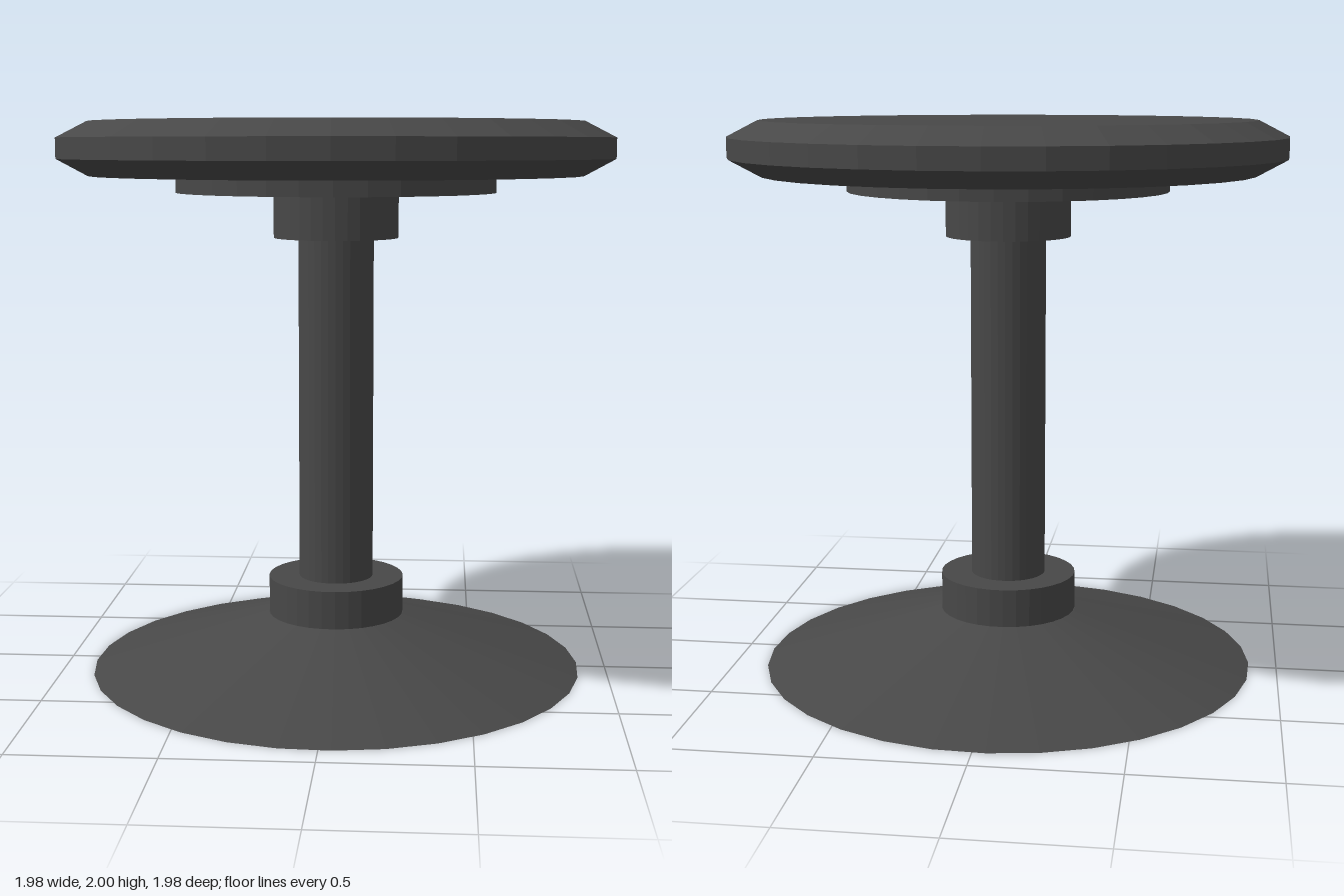
import * as THREE from 'three';

export function createModel() {
  const stool = new THREE.Group();
  stool.name = 'stool';

  const charcoal = new THREE.MeshStandardMaterial({ color: 0x484848, flatShading: true });
  charcoal.name = 'charcoal';

  const SIDES = 32;
  const TURN = Math.PI / 64; // quarter of one facet

  // Solid of revolution from [radius, y] points, bottom to top
  function turned(name, points) {
    const profile = points.map(([r, y]) => new THREE.Vector2(r, y));
    const mesh = new THREE.Mesh(new THREE.LatheGeometry(profile, SIDES, TURN), charcoal);
    mesh.name = name;
    stool.add(mesh);
  }

  // Plain disc or tube between two heights
  const drum = (name, r, y0, y1) => turned(name, [[0, y0], [r, y0], [r, y1], [0, y1]]);

  // Flared foot and its collar
  turned('base', [[0, 0], [0.9, 0], [0.25, 0.2], [0, 0.2]]);
  drum('lowerCollar', 0.248, 0.2, 0.338);

  // Central post
  drum('column', 0.136, 0.3, 1.62);

  // Support under the seat
  drum('upperCollar', 0.225, 1.588, 1.75);
  drum('seatPlate', 0.575, 1.75, 1.81);

  // Round seat with bevelled rim
  turned('seat', [[0, 1.81], [0.88, 1.81], [0.99, 1.87], [0.99, 1.943], [0.88, 2], [0, 2]]);

  return stool;
}
